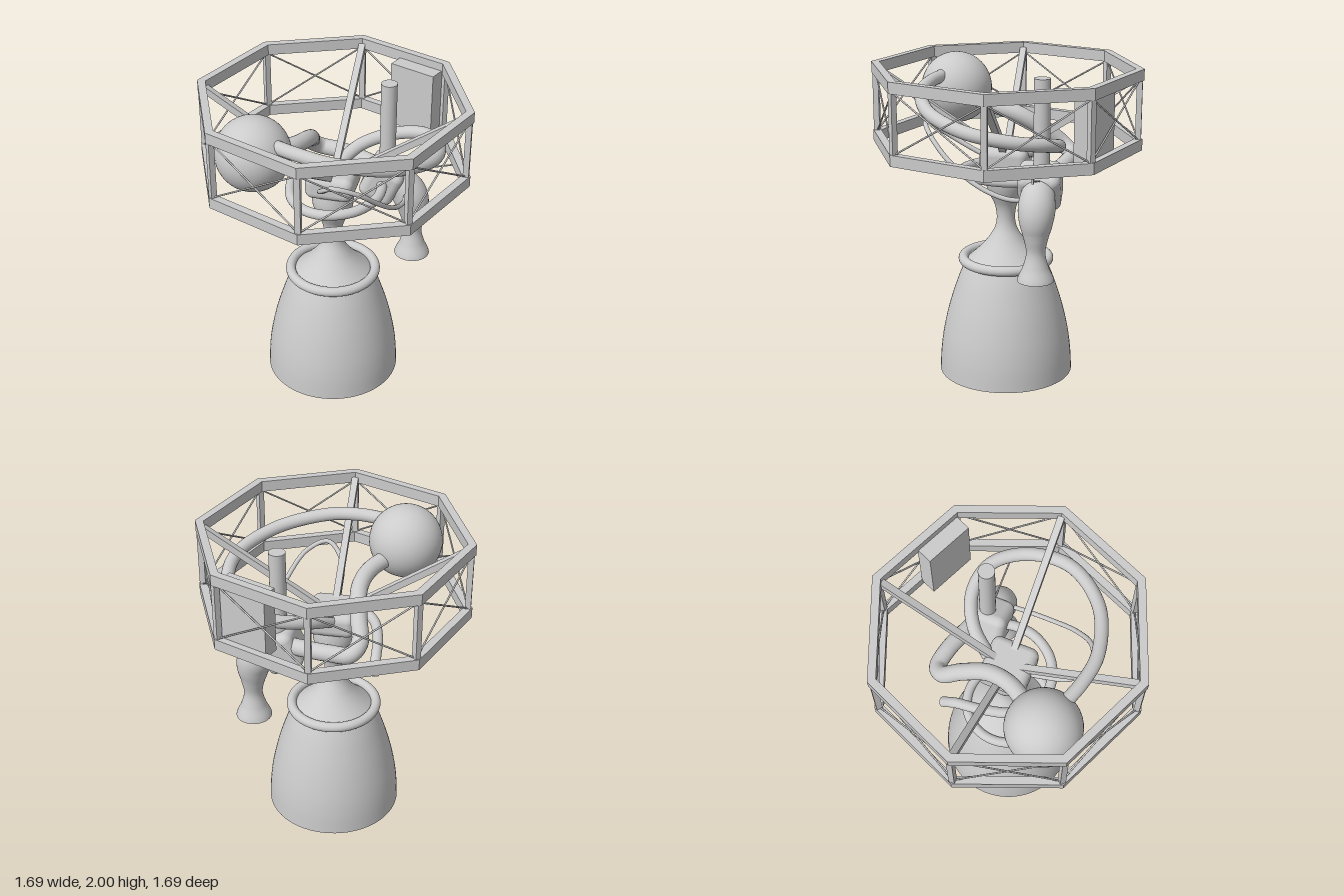
import * as THREE from 'three';
import { RoundedBoxGeometry } from 'three/addons/geometries/RoundedBoxGeometry.js';

const V = (x, y, z) => new THREE.Vector3(x, y, z);
const solid = new THREE.MeshStandardMaterial({ color: 0xcccccc });
const open = new THREE.MeshStandardMaterial({ color: 0xcccccc, side: THREE.DoubleSide });

function add(parent, name, geometry, material = solid) {
  const mesh = new THREE.Mesh(geometry, material);
  mesh.name = name;
  parent.add(mesh);
  return mesh;
}

// Tube through points; radius may be a number or a list spread evenly along the path
function pipe(parent, name, points, radius, segments = 96, sides = 20) {
  const curve = new THREE.CatmullRomCurve3(points.map(p => V(...p)));
  const list = Array.isArray(radius) ? radius : null;
  const geo = new THREE.TubeGeometry(curve, segments, list ? 1 : radius, sides);
  if (list) {
    const profile = new THREE.SplineCurve(list.map((r, i) => new THREE.Vector2(i, r)));
    const pos = geo.attributes.position, v = V(0, 0, 0);
    for (let i = 0; i <= segments; i++) {
      const centre = curve.getPointAt(i / segments), r = profile.getPoint(i / segments).y;
      for (let j = 0; j <= sides; j++) {
        const k = i * (sides + 1) + j;
        v.fromBufferAttribute(pos, k).sub(centre).multiplyScalar(r).add(centre);
        pos.setXYZ(k, v.x, v.y, v.z);
      }
    }
    geo.computeVertexNormals();
  }
  return add(parent, name, geo, open);
}

// Straight bar between two points, square or round
function bar(parent, name, a, b, width, round = false) {
  const length = a.distanceTo(b);
  const geo = round ? new THREE.CylinderGeometry(width / 2, width / 2, length, 8)
    : new THREE.BoxGeometry(width, length, width);
  const mesh = add(parent, name, geo);
  const dir = b.clone().sub(a).normalize();
  const side = V(-dir.z, 0, dir.x);
  if (side.length() < 0.01) side.set(Math.cos(Math.atan2(a.z, a.x)), 0, Math.sin(Math.atan2(a.z, a.x)));
  side.normalize();
  mesh.quaternion.setFromRotationMatrix(
    new THREE.Matrix4().makeBasis(side, dir, side.clone().cross(dir)));
  mesh.position.copy(a).add(b).multiplyScalar(0.5);
  return mesh;
}

const corner = (i, r, y) => V(r * Math.cos(i * Math.PI / 4), y, r * Math.sin(i * Math.PI / 4));

function octagonRing(outer, inner, height) {
  const points = r => Array.from({ length: 8 }, (_, i) => {
    const p = corner(i, r, 0);
    return new THREE.Vector2(p.x, p.z);
  });
  const shape = new THREE.Shape(points(outer));
  shape.holes.push(new THREE.Path(points(inner)));
  return new THREE.ExtrudeGeometry(shape, { depth: height, bevelEnabled: false }).rotateX(-Math.PI / 2);
}

function lathe(profile) {
  const curve = new THREE.SplineCurve(profile.map(p => new THREE.Vector2(...p)));
  return new THREE.LatheGeometry(curve.getPoints(48), 64);
}

export function createModel() {
  const model = new THREE.Group();
  model.name = 'rocketEngine';

  // Octagonal truss
  const frame = new THREE.Group();
  frame.name = 'thrustFrame';
  model.add(frame);
  for (const [name, y] of [['lowerRing', 1.495], ['upperRing', 1.93]])
    add(frame, name, octagonRing(0.845, 0.793, 0.07)).position.y = y;
  for (let i = 0; i < 8; i++) {
    bar(frame, 'post', corner(i, 0.818, 1.56), corner(i, 0.818, 1.935), 0.036);
    bar(frame, 'crossBrace', corner(i, 0.818, 1.56), corner(i + 1, 0.818, 1.935), 0.011, true);
    bar(frame, 'crossBrace', corner(i, 0.818, 1.935), corner(i + 1, 0.818, 1.56), 0.011, true);
    if (i % 2 === 0)
      bar(frame, 'radialStrut', corner(i, 0.8, 1.95), corner(i, 0.06, 1.46), 0.042);
  }

  // Main nozzle, throat and combustion chamber
  add(model, 'nozzleBell', lathe([[0.428, 0], [0.42, 0.14], [0.4, 0.28], [0.36, 0.45],
    [0.305, 0.62], [0.255, 0.74]]), open);
  add(model, 'chamber', lathe([[0.255, 0.74], [0.205, 0.785], [0.155, 0.835], [0.11, 0.89],
    [0.07, 0.96], [0.058, 1.03], [0.07, 1.11], [0.112, 1.2], [0.131, 1.28], [0.122, 1.38]]), open);
  const manifold = add(model, 'nozzleManifold', new THREE.TorusGeometry(0.272, 0.031, 20, 64));
  manifold.rotation.x = Math.PI / 2;
  manifold.position.y = 0.755;
  add(model, 'engineHead', new RoundedBoxGeometry(0.3, 0.16, 0.3, 5, 0.05)).position.set(0, 1.42, 0);

  // Spherical tank
  add(model, 'tank', new THREE.SphereGeometry(0.228, 40, 28)).position.set(-0.387, 1.772, 0.38);

  // Pump with its feed column
  const pump = add(model, 'pump', new RoundedBoxGeometry(0.23, 0.25, 0.26, 5, 0.05));
  pump.position.set(0.27, 1.325, -0.25);
  pump.rotation.z = -0.42;
  add(model, 'feedColumn', new THREE.CylinderGeometry(0.05, 0.05, 0.59, 32)).position.set(0.288, 1.69, -0.26);

  // Side exhaust: an elbow that narrows and flares
  pipe(model, 'sideNozzle', [[0.31, 1.31, -0.25], [0.4, 1.28, -0.25], [0.453, 1.19, -0.25], [0.465, 1.08, -0.25],
    [0.467, 0.97, -0.25], [0.467, 0.87, -0.25], [0.467, 0.785, -0.25]],
    [0.09, 0.105, 0.112, 0.098, 0.073, 0.058, 0.078, 0.113], 80, 40);

  // Plumbing
  pipe(model, 'longFeedPipe', [[-0.25, 1.875, 0.44], [-0.08, 1.865, 0.49], [0.12, 1.84, 0.505], [0.43, 1.78, 0.39],
    [0.63, 1.72, 0.13], [0.62, 1.67, -0.15], [0.49, 1.63, -0.33], [0.3, 1.58, -0.365],
    [0.12, 1.53, -0.28], [0.0, 1.46, -0.13]], 0.041, 128);
  pipe(model, 'tankPipe', [[-0.29, 1.72, 0.24], [-0.2, 1.7, 0.1], [-0.165, 1.66, -0.05], [-0.19, 1.56, -0.22],
    [-0.215, 1.46, -0.34], [-0.165, 1.41, -0.395], [-0.03, 1.4, -0.385], [0.24, 1.37, -0.3]], 0.052, 112);
  pipe(model, 'exhaustPipe', [[-0.3, 1.22, -0.31], [-0.298, 1.29, -0.22], [-0.285, 1.32, -0.06], [-0.23, 1.325, 0.13],
    [-0.12, 1.325, 0.24], [0.02, 1.33, 0.27], [0.18, 1.335, 0.2], [0.275, 1.34, 0.06],
    [0.29, 1.34, -0.08], [0.26, 1.34, -0.2]], 0.032, 112);
  pipe(model, 'thinLine', [[0, 1.42, 0.12], [0.0, 1.47, 0.22], [0.02, 1.58, 0.4], [0.12, 1.66, 0.48], [0.25, 1.61, 0.43],
    [0.35, 1.48, 0.3], [0.41, 1.35, 0.12], [0.435, 1.28, -0.06], [0.43, 1.27, -0.2]], 0.015, 96, 10);

  // Stay from pump to the lower ring
  bar(model, 'stayRod', V(0.32, 1.365, -0.26), V(0.715, 1.475, -0.26), 0.011, true);
  bar(model, 'stayMount', V(0.715, 1.46, -0.26), V(0.715, 1.5, -0.26), 0.014, true);

  // Equipment box set against the inside of the frame
  const box = add(model, 'equipmentBox', new THREE.BoxGeometry(0.31, 0.42, 0.105));
  box.position.set(0.395, 1.74, -0.58);
  box.rotation.y = -Math.PI / 8;

  return model;
}
